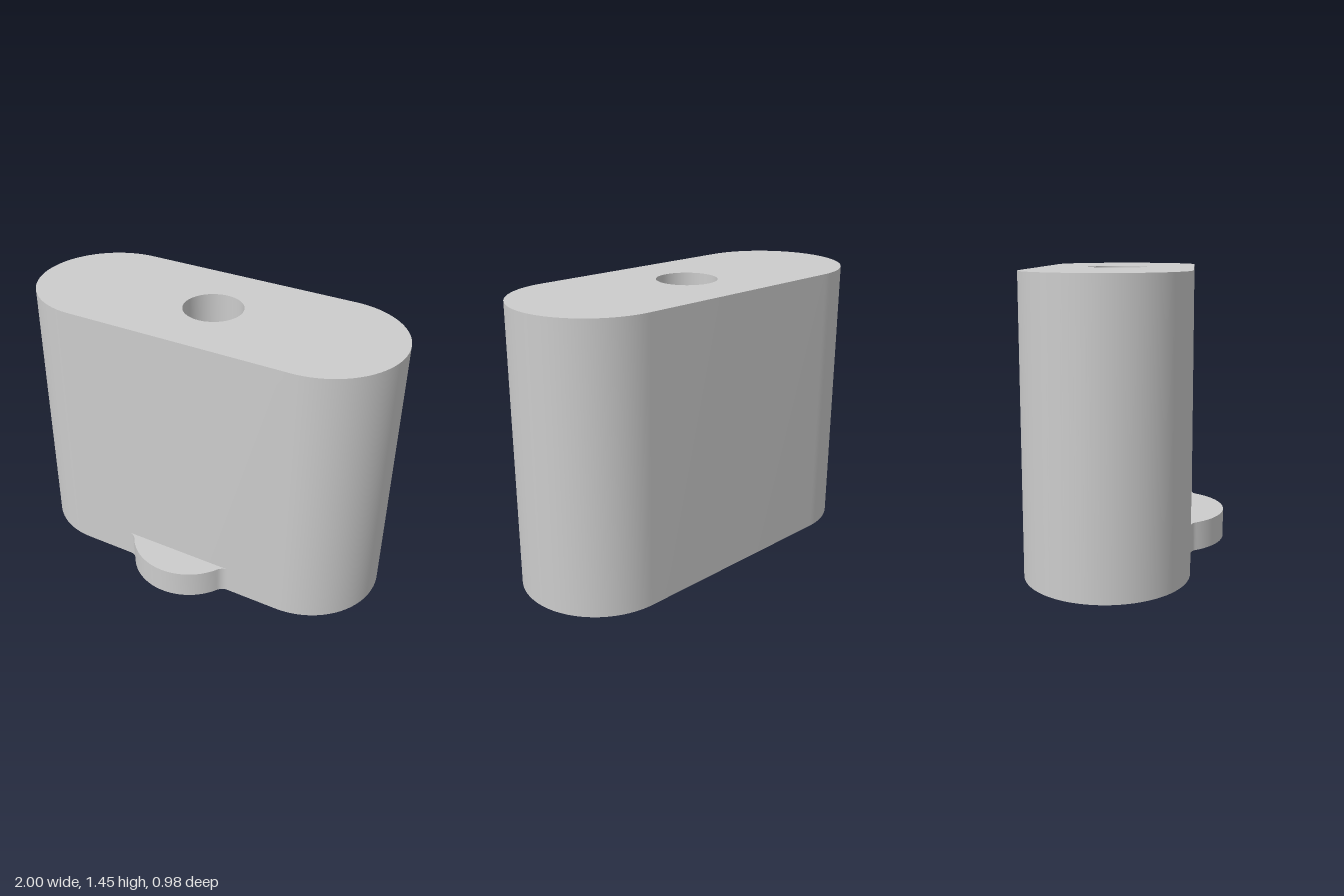
import * as THREE from 'three';
import { toCreasedNormals } from 'three/addons/utils/BufferGeometryUtils.js';

const HEIGHT = 1.45, RADIUS = 0.401, STRAIGHT = 0.599, CENTRE_Z = -0.086;
const BORE = 0.155, RECESS = 0.28, LEDGE_Y = 1.0;

// Rounded slot outline, drawn counter-clockwise
function slot(holeRadius) {
  const s = new THREE.Shape();
  s.moveTo(-STRAIGHT, -RADIUS);
  s.lineTo(STRAIGHT, -RADIUS);
  s.absarc(STRAIGHT, 0, RADIUS, -Math.PI / 2, Math.PI / 2, false);
  s.lineTo(-STRAIGHT, RADIUS);
  s.absarc(-STRAIGHT, 0, RADIUS, Math.PI / 2, Math.PI * 1.5, false);
  if (holeRadius) {
    s.holes.push(new THREE.Path().absarc(0, 0, holeRadius, 0, Math.PI * 2, true));
  }
  return s;
}

// Upright wall around an outline
function wall(points, height) {
  const pos = [];
  points.forEach((a, i) => {
    const b = points[(i + 1) % points.length];
    if (a.distanceTo(b) < 1e-6) return;
    const a0 = [a.x, 0, -a.y], b0 = [b.x, 0, -b.y];
    const a1 = [a.x, height, -a.y], b1 = [b.x, height, -b.y];
    pos.push(...a0, ...b0, ...b1, ...a0, ...b1, ...a1);
  });
  const g = new THREE.BufferGeometry();
  g.setAttribute('position', new THREE.Float32BufferAttribute(pos, 3));
  g.computeVertexNormals();
  return toCreasedNormals(g, 0.6);
}

export function createModel() {
  const model = new THREE.Group();
  model.name = 'slottedBlock';
  const grey = new THREE.MeshStandardMaterial({ color: 0xcccccc });
  grey.name = 'light grey';

  const add = (name, geometry, parent) => {
    const mesh = new THREE.Mesh(geometry, grey);
    mesh.name = name;
    parent.add(mesh);
    return mesh;
  };

  // Main block: side wall and two pierced end faces
  const body = new THREE.Group();
  body.name = 'body';
  body.position.z = CENTRE_Z;
  model.add(body);
  add('sideWall', wall(slot().getPoints(32), HEIGHT), body);
  add('topFace', new THREE.ShapeGeometry(slot(BORE), 32).rotateX(-Math.PI / 2), body)
    .position.y = HEIGHT;
  add('bottomFace', new THREE.ShapeGeometry(slot(RECESS), 32).rotateX(Math.PI / 2), body);

  // Stepped bore: narrow at the top, wide recess below
  const profile = [[BORE, HEIGHT], [BORE, LEDGE_Y], [RECESS, LEDGE_Y], [RECESS, 0]];
  const bore = new THREE.LatheGeometry(profile.map(([r, y]) => new THREE.Vector2(r, y)), 64);
  add('steppedBore', toCreasedNormals(bore, 0.6), body);

  // Rounded locating tab at the foot of the front, with small fillets
  const front = -(CENTRE_Z + RADIUS), tabR = 0.31, tabY = -0.178, ang = 0.569;
  const tab = new THREE.Shape();
  tab.moveTo(-0.315, front);
  tab.quadraticCurveTo(-0.28, front, -tabR * Math.cos(ang), tabY - tabR * Math.sin(ang));
  tab.absarc(0, tabY, tabR, Math.PI + ang, Math.PI * 2 - ang, false);
  tab.quadraticCurveTo(0.28, front, 0.315, front);
  tab.closePath();
  const tabGeometry = new THREE.ExtrudeGeometry(tab, {
    depth: 0.15, bevelEnabled: false, curveSegments: 24,
  }).rotateX(-Math.PI / 2);
  add('frontTab', toCreasedNormals(tabGeometry, 0.6), model);

  return model;
}
